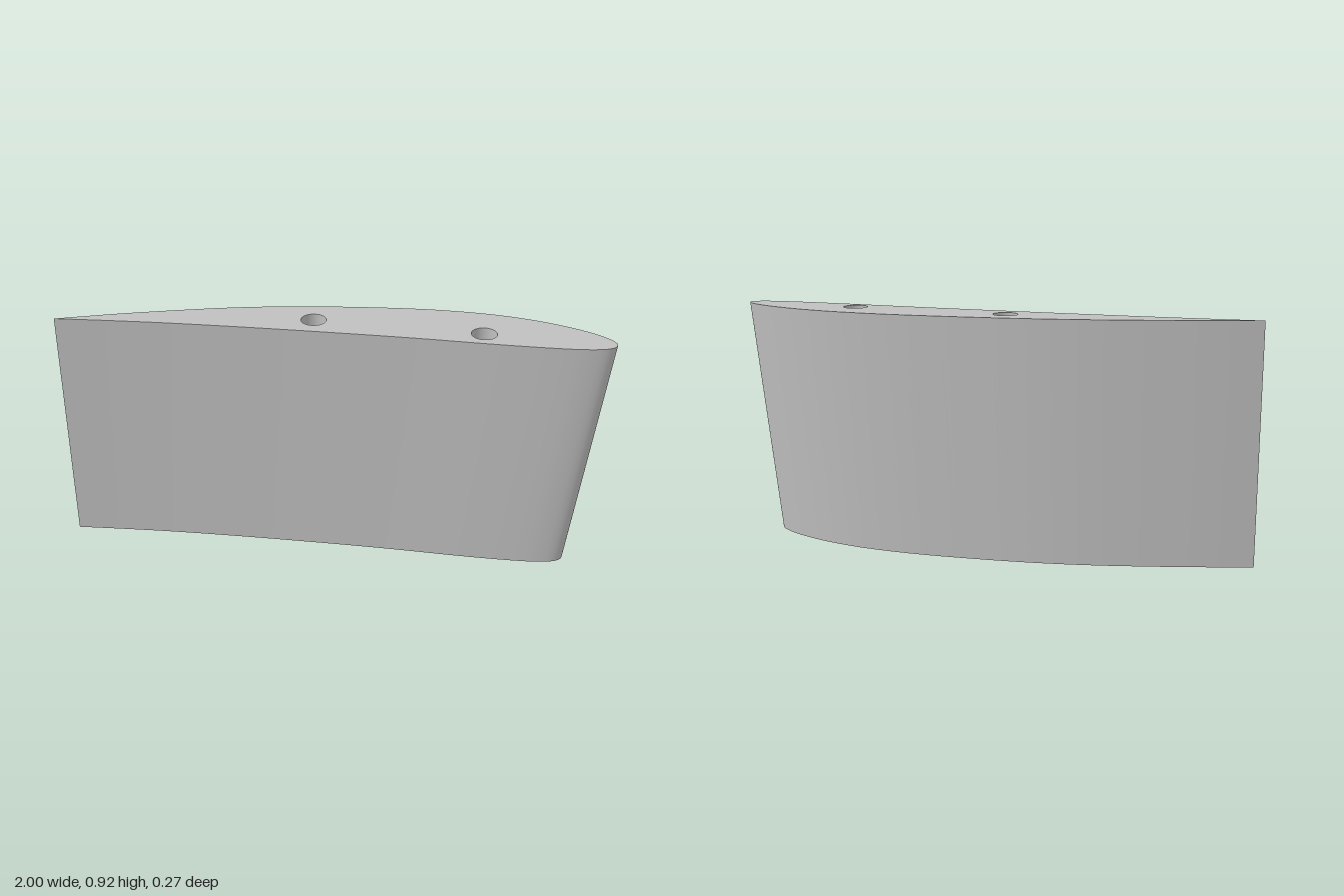
import * as THREE from 'three';

const HEIGHT = 0.915;
const BOTTOM_SCALE = 0.945; // chord shrinks toward the trailing edge
const TAIL = { x: -1, z: 0.08 };
const HOLES = [[-0.07, -0.007], [0.54, 0.043]];
const HOLE_RADIUS = 0.046;

// Airfoil section [x, z]: along the back to the leading edge, then along the front
const SECTION = [
  [-1, 0.08], [-0.8, 0.022], [-0.6, -0.028], [-0.4, -0.072], [-0.2, -0.104], [0, -0.123],
  [0.28, -0.135], [0.45, -0.129], [0.6, -0.111], [0.75, -0.074], [0.88, -0.022], [0.96, 0.026],
  [0.993, 0.06], [1, 0.08], [0.992, 0.1], [0.965, 0.117], [0.9, 0.128], [0.8, 0.13],
  [0.6, 0.122], [0.3, 0.102], [0, 0.088], [-0.3, 0.078], [-0.6, 0.073], [-0.8, 0.075], [-1, 0.08],
];

function sectionPoints(scale) {
  const curve = new THREE.CatmullRomCurve3(
    SECTION.map(([x, z]) => new THREE.Vector3(x, 0, z)), false, 'centripetal');
  return curve.getPoints(96).map((p) => new THREE.Vector2(
    TAIL.x + (p.x - TAIL.x) * scale, TAIL.z + (p.z - TAIL.z) * scale));
}

// Flat end plate with the two rod holes; dir is 1 facing up, -1 facing down
function endCap(points, dir) {
  const shape = new THREE.Shape(points.slice(0, -1).map((p) => new THREE.Vector2(p.x, -dir * p.y)));
  for (const [x, z] of HOLES) {
    shape.holes.push(new THREE.Path().absarc(x, -dir * z, HOLE_RADIUS, 0, Math.PI * 2, true));
  }
  return new THREE.ShapeGeometry(shape, 16).rotateX(-dir * Math.PI / 2);
}

// Smooth skin lofted between the two sections, sharp at the trailing edge
function skin(lower, upper) {
  const positions = [];
  const index = [];
  lower.forEach((p, i) => {
    positions.push(p.x, 0, p.y, upper[i].x, HEIGHT, upper[i].y);
    if (i === 0) return;
    const a = 2 * (i - 1);
    index.push(a, a + 1, a + 2, a + 2, a + 1, a + 3);
  });
  const geometry = new THREE.BufferGeometry();
  geometry.setAttribute('position', new THREE.Float32BufferAttribute(positions, 3));
  geometry.setIndex(index);
  geometry.computeVertexNormals();
  return geometry;
}

export function createModel() {
  const group = new THREE.Group();
  group.name = 'wingSection';
  const gray = new THREE.MeshStandardMaterial({ color: 0xc0c0c0, side: THREE.DoubleSide });
  gray.name = 'light gray';

  const add = (name, geometry) => {
    const mesh = new THREE.Mesh(geometry, gray);
    mesh.name = name;
    group.add(mesh);
    return mesh;
  };

  const lower = sectionPoints(BOTTOM_SCALE);
  const upper = sectionPoints(1);
  add('airfoilSkin', skin(lower, upper));
  add('topCap', endCap(upper, 1)).position.y = HEIGHT;
  add('bottomCap', endCap(lower, -1));

  // Straight rod holes through the full height
  HOLES.forEach(([x, z], i) => {
    const bore = new THREE.CylinderGeometry(HOLE_RADIUS, HOLE_RADIUS, HEIGHT, 32, 1, true);
    add(i === 0 ? 'rearRodHole' : 'frontRodHole', bore).position.set(x, HEIGHT / 2, z);
  });

  return group;
}
